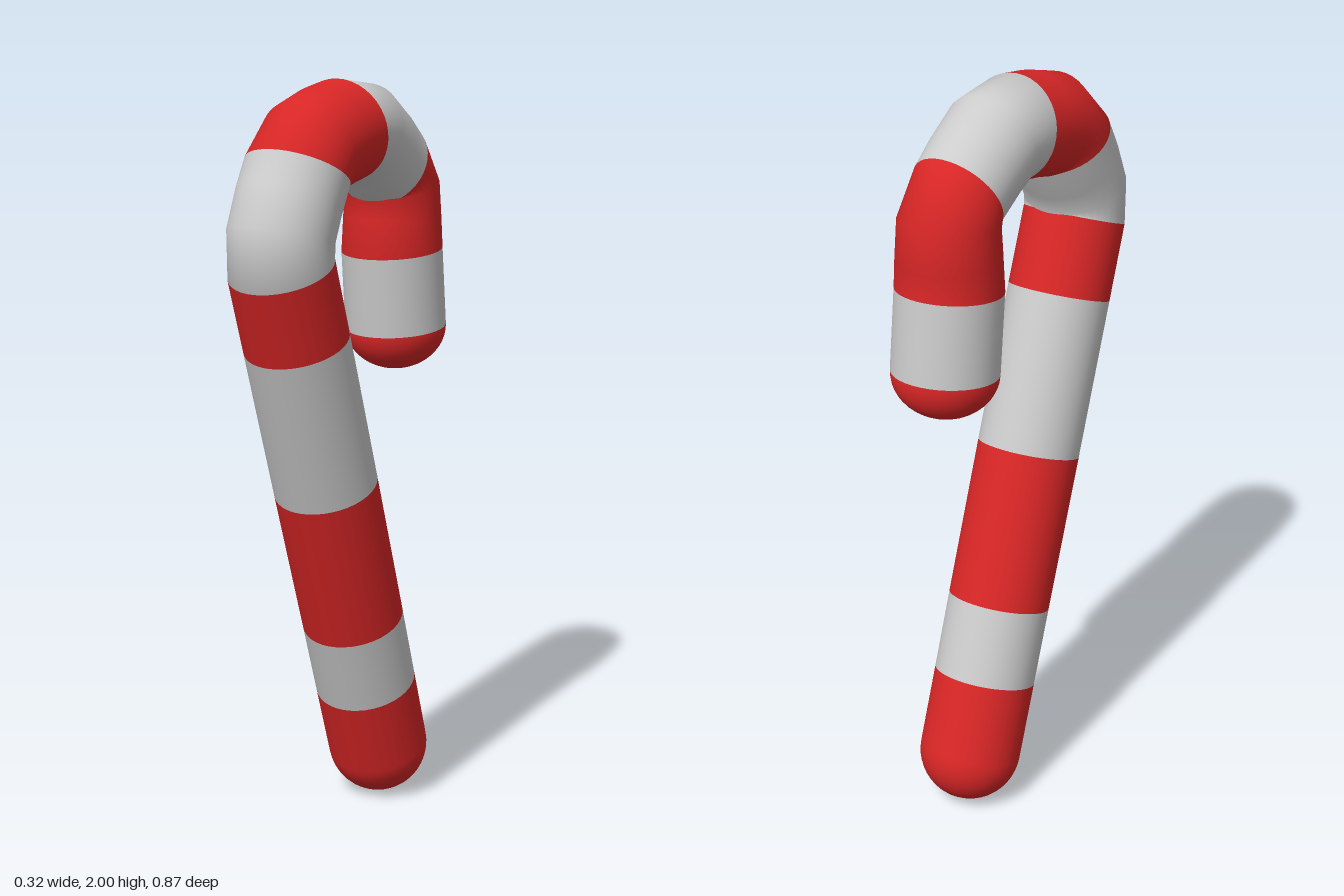
import * as THREE from 'three';

const SIDES = 40;
const RED = new THREE.MeshStandardMaterial({ color: 0xd92626 });
const GREY = new THREE.MeshStandardMaterial({ color: 0xcccccc });

// Stripe boundaries along the cane: centre z, y, tangent z, y, radius
const key = (z, y, tz, ty, r) => ({
  c: new THREE.Vector3(0, y, z),
  t: new THREE.Vector3(0, ty, tz).normalize(),
  r,
});
const KEYS = [
  key(-0.206, 0.138, 0.34, 0.94, 0.138),
  key(-0.133, 0.342, 0.34, 0.94, 0.138),
  key(-0.061, 0.545, 0.34, 0.94, 0.138),
  key(0.084, 0.947, 0.34, 0.94, 0.138),
  key(0.23, 1.352, 0.34, 0.94, 0.137),
  key(0.302, 1.548, 0.35, 0.937, 0.136),
  key(0.221, 1.782, -0.47, 0.88, 0.136),
  key(-0.003, 1.868, -0.975, 0.2, 0.134),
  key(-0.233, 1.763, -0.85, -0.525, 0.124),
  key(-0.275, 1.53, -0.1, -0.995, 0.137),
  key(-0.298, 1.317, -0.1, -0.995, 0.138),
];

// Skin a row of rings; tilt leans the normals along the tangent
function skin(rings) {
  const pos = [], nor = [], idx = [];
  const x = new THREE.Vector3(1, 0, 0);
  rings.forEach(({ c, t, r, tilt = 0 }, i) => {
    const e2 = new THREE.Vector3().crossVectors(t, x);
    for (let j = 0; j <= SIDES; j++) {
      const a = (j / SIDES) * Math.PI * 2;
      const out = x.clone().multiplyScalar(Math.cos(a)).addScaledVector(e2, Math.sin(a));
      pos.push(...c.clone().addScaledVector(out, r).toArray());
      nor.push(...out.multiplyScalar(Math.cos(tilt)).addScaledVector(t, Math.sin(tilt)).toArray());
      if (i && j < SIDES) {
        const p = (i - 1) * (SIDES + 1) + j, q = p + SIDES + 1;
        idx.push(p, p + 1, q, p + 1, q + 1, q);
      }
    }
  });
  const g = new THREE.BufferGeometry();
  g.setAttribute('position', new THREE.Float32BufferAttribute(pos, 3));
  g.setAttribute('normal', new THREE.Float32BufferAttribute(nor, 3));
  g.setIndex(idx);
  return g;
}

// Stripe between two boundaries, following a smooth curve
function stripe(a, b, steps) {
  const h = a.c.distanceTo(b.c) * 0.345;
  const curve = new THREE.CubicBezierCurve3(
    a.c, a.c.clone().addScaledVector(a.t, h), b.c.clone().addScaledVector(b.t, -h), b.c);
  const rings = [];
  for (let i = 0; i <= steps; i++) {
    const u = i / steps;
    const t = i === 0 ? a.t : i === steps ? b.t : curve.getTangent(u);
    rings.push({ c: curve.getPoint(u), t, r: THREE.MathUtils.lerp(a.r, b.r, u) });
  }
  return skin(rings);
}

// Rounded end, bulging backward (dir -1) or forward (dir 1) along the tangent
function cap({ c, t, r }, dir, depth) {
  const rings = [];
  const n = 12;
  for (let i = 0; i <= n; i++) {
    const a = (dir > 0 ? i : i - n) / n * Math.PI / 2;
    rings.push({ c: c.clone().addScaledVector(t, depth * Math.sin(a)), t, r: r * Math.cos(a), tilt: a });
  }
  return skin(rings);
}

export function createModel() {
  const cane = new THREE.Group();
  cane.name = 'candyCane';
  const add = (name, geometry, material) => {
    const mesh = new THREE.Mesh(geometry, material);
    mesh.name = name;
    cane.add(mesh);
  };

  // Alternating stripes: five on the straight shaft, four on the hook, one on the tip
  for (let i = 0; i < KEYS.length - 1; i++) {
    const hook = i >= 5 && i < 9;
    const name = (hook ? 'hookStripe' : i < 5 ? 'shaftStripe' : 'tipStripe') + (i + 1);
    add(name, stripe(KEYS[i], KEYS[i + 1], hook ? 3 : 1), i % 2 ? GREY : RED);
  }

  // Rounded ends
  add('footCap', cap(KEYS[0], -1, 0.138), RED);
  add('tipCap', cap(KEYS[KEYS.length - 1], 1, 0.117), RED);

  // Slight turn about the vertical
  cane.rotation.y = 0.07;
  const model = new THREE.Group();
  model.name = 'model';
  model.add(cane);
  return model;
}
